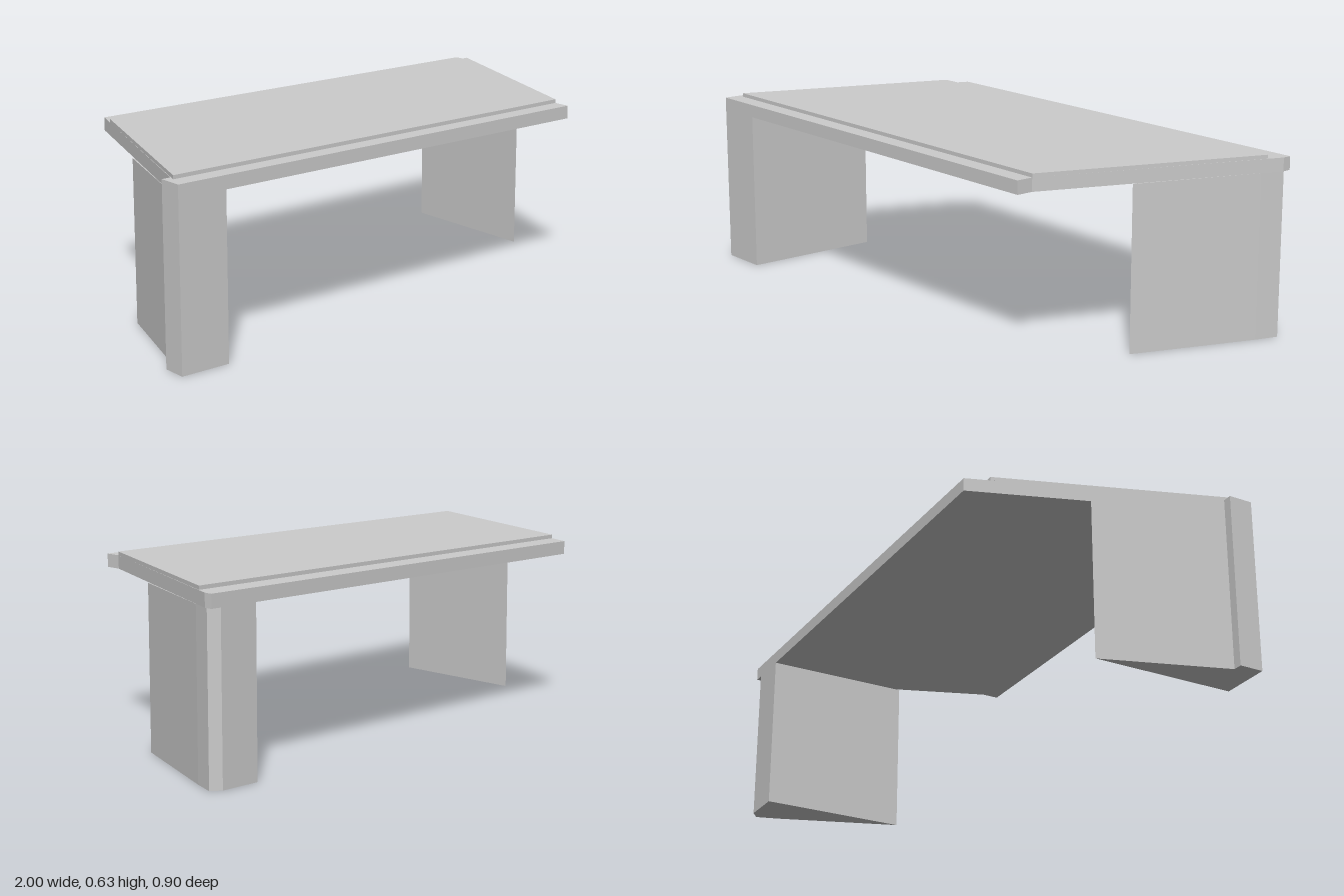
import * as THREE from 'three';

const material = new THREE.MeshStandardMaterial({ color: 0xcccccc, flatShading: true });

// Upright prism from a plan outline given as [x, z] points
function prism(name, plan, bottom, top) {
  const shape = new THREE.Shape(plan.map(([x, z]) => new THREE.Vector2(x, -z)));
  const geometry = new THREE.ExtrudeGeometry(shape, { depth: top - bottom, bevelEnabled: false });
  geometry.rotateX(-Math.PI / 2).translate(0, bottom, 0);
  const mesh = new THREE.Mesh(geometry, material);
  mesh.name = name;
  return mesh;
}

export function createModel() {
  const table = new THREE.Group();
  table.name = 'slantedTable';
  const under = 0.567, slabTop = 0.613, top = 0.626;

  // Skewed slab with squared-off front corners
  table.add(prism('tableSlab', [
    [-0.672, -0.45], [1, -0.45], [1, -0.42], [0.69, 0.39], [0.69, 0.45],
    [-1, 0.45], [-1, 0.365], [-0.968, 0.365],
  ], under, slabTop));

  // Thin raised panel between the front and back rims
  table.add(prism('topPanel', [
    [-0.975, 0.39], [0.69, 0.39], [0.978, -0.368], [-0.702, -0.368],
  ], slabTop, top));

  // Wedge leg at the front left of the plan, with a notched outer corner
  table.add(prism('frontLeg', [
    [-0.82, 0.45], [-1, 0.45], [-1, 0.365], [-0.968, 0.365], [-0.82, -0.06],
  ], 0, under));

  // Wedge leg at the back right, with a chamfered outer corner
  table.add(prism('backLeg', [
    [0.82, -0.45], [0.963, -0.45], [0.997, -0.425], [0.972, -0.345], [0.815, 0.078],
  ], 0, under));

  return table;
}
